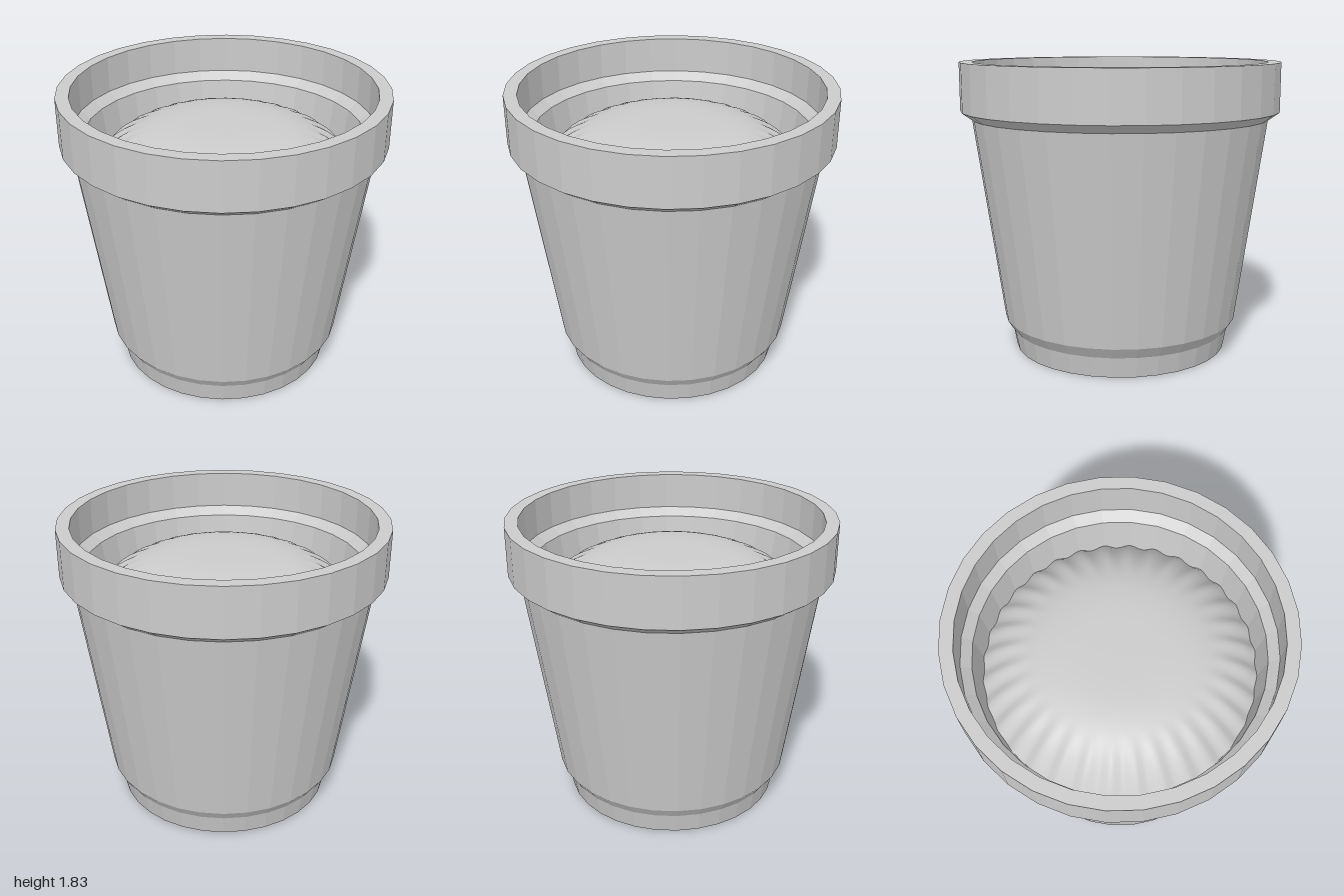
import * as THREE from 'three';
import { mergeVertices } from 'three/addons/utils/BufferGeometryUtils.js';

const SIDES = 32;
const SOIL_RADIUS = 0.83;

// Faceted pot: one closed profile from the base, over the rim, down the inside
function makePot() {
  const profile = [
    [0, 0], [0.68, 0], [0.705, 0.13], [0.75, 0.2], // base and foot
    [0.93, 1.48], [1, 1.53], [1, 1.83],            // wall and collar
    [0.92, 1.83], [0.92, 1.6], [0.86, 1.55],       // lip and inner ledge
    [0.815, 1.23],                                 // inner wall, ending under the soil
  ].map(([r, y]) => new THREE.Vector2(r, y));
  const material = new THREE.MeshStandardMaterial({ color: 0xcccccc, flatShading: true });
  const pot = new THREE.Mesh(new THREE.LatheGeometry(profile, SIDES), material);
  pot.name = 'pot';
  return pot;
}

// Smooth domed soil whose edge is gathered into radial ripples
function makeSoil() {
  const profile = [];
  const rings = 20;
  for (let i = 0; i <= rings; i++) {
    const t = 1 - i / rings;
    profile.push(new THREE.Vector2(SOIL_RADIUS * t, 1.3 + 0.3 * (1 - t ** 4)));
  }
  let geometry = new THREE.LatheGeometry(profile, SIDES * 6);
  const p = geometry.attributes.position;
  for (let i = 0; i < p.count; i++) {
    const x = p.getX(i), z = p.getZ(i);
    const t = Math.hypot(x, z) / SOIL_RADIUS;
    const ripple = 0.018 * THREE.MathUtils.smoothstep(t, 0.6, 0.95);
    p.setY(i, p.getY(i) + ripple * Math.cos(SIDES * Math.atan2(x, z)));
  }
  // Weld the seam and centre so the normals stay smooth
  geometry.deleteAttribute('normal');
  geometry.deleteAttribute('uv');
  geometry = mergeVertices(geometry, 1e-4);
  geometry.computeVertexNormals();
  const soil = new THREE.Mesh(geometry, new THREE.MeshStandardMaterial({ color: 0xcccccc }));
  soil.name = 'soil';
  return soil;
}

export function createModel() {
  const model = new THREE.Group();
  model.name = 'flowerPot';
  model.add(makePot(), makeSoil());
  return model;
}
